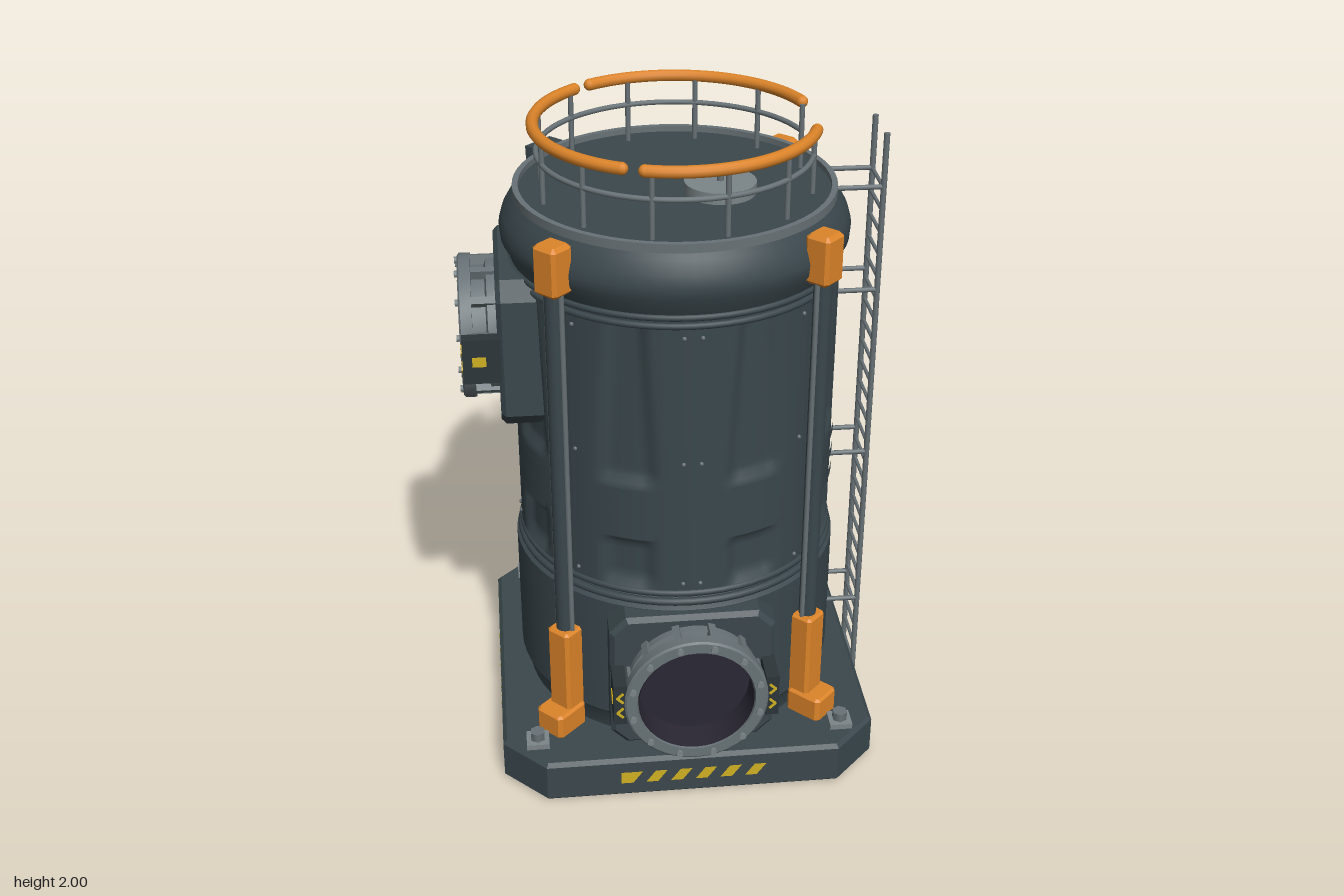
import * as THREE from 'three';
import { toCreasedNormals } from 'three/addons/utils/BufferGeometryUtils.js';

const mat = (name, color, side = THREE.FrontSide) => {
  const m = new THREE.MeshStandardMaterial({ color, side });
  m.name = name;
  return m;
};

export function createModel() {
  const M = {
    body: mat('dark slate', 0x3a474c, THREE.DoubleSide),
    dark: mat('deep slate', 0x2c3539),
    steel: mat('steel', 0x687276),
    light: mat('light steel', 0x7b8588),
    orange: mat('safety orange', 0xdc8429),
    yellow: mat('hazard yellow', 0xd0b022, THREE.DoubleSide),
    hole: mat('dark opening', 0x2a2733, THREE.DoubleSide),
  };
  const root = new THREE.Group();
  root.name = 'tank';
  root.position.x = 0.015;

  // Helpers
  const add = (name, geo, material, parent = root, x = 0, y = 0, z = 0) => {
    const m = new THREE.Mesh(geo, material);
    m.name = name;
    m.position.set(x, y, z);
    parent.add(m);
    return m;
  };
  const group = (name, angle = 0, y = 0) => {
    const g = new THREE.Group();
    g.name = name;
    g.rotation.y = angle;
    g.position.y = y;
    root.add(g);
    return g;
  };
  const box = (w, h, d) => new THREE.BoxGeometry(w, h, d);
  const cyl = (r, h, n = 16) => new THREE.CylinderGeometry(r, r, h, n);
  const lathe = (pts, n = 64) => toCreasedNormals(
    new THREE.LatheGeometry(pts.map(p => new THREE.Vector2(p[0], p[1])), n), 0.6);
  const octagon = (w, h, c) => new THREE.Shape([[-w + c, -h], [w - c, -h], [w, -h + c], [w, h - c],
    [w - c, h], [-w + c, h], [-w, h - c], [-w, -h + c]].map(p => new THREE.Vector2(p[0], p[1])));
  const prism = (shape, depth, bevel) => new THREE.ExtrudeGeometry(shape, {
    depth: depth - 2 * bevel, bevelSize: bevel, bevelThickness: bevel, bevelOffset: -bevel, bevelSegments: 1,
  }).translate(0, 0, bevel);
  const rad = THREE.MathUtils.degToRad;
  const arcTube = (r, y, a0, a1, t) => {
    const pts = [];
    for (let i = 0; i <= 32; i++) {
      const a = rad(a0 + (a1 - a0) * i / 32);
      pts.push(new THREE.Vector3(r * Math.sin(a), y, r * Math.cos(a)));
    }
    return { pts, geo: new THREE.TubeGeometry(new THREE.CatmullRomCurve3(pts), 64, t, 10) };
  };

  // Base slab with cut corners, corner bolts and hazard stripes
  add('baseSlab', prism(octagon(0.583, 0.583, 0.13), 0.142, 0.012).rotateX(-Math.PI / 2), M.body);
  for (const x of [-0.475, 0.475]) for (const z of [-0.47, 0.47]) {
    add('boltPlate', box(0.07, 0.02, 0.07), M.light, root, x, 0.15, z);
    add('anchorBolt', cyl(0.024, 0.03, 6), M.steel, root, x, 0.173, z);
  }
  for (let s = 0; s < 4; s++) {
    const g = group('hazardStripes', s * Math.PI / 2);
    for (let i = 0; i < 6; i++) {
      const x = -0.225 + i * 0.077, lean = i === 0 ? 0 : 0.03;
      const shape = new THREE.Shape([[x, 0.053], [x + 0.037, 0.053], [x + 0.067, 0.095], [x + lean, 0.095]]
        .map(p => new THREE.Vector2(p[0], p[1])));
      add('stripe', new THREE.ShapeGeometry(shape), M.yellow, g, 0, 0, 0.585);
    }
  }

  // Tank shell, from the foot to the domed shoulder and deck
  add('shell', lathe([[0.48, 0.13], [0.49, 0.2], [0.505, 0.22], [0.505, 0.635], [0.49, 0.645], [0.462, 0.66],
    [0.462, 1.57], [0.488, 1.6], [0.495, 1.63], [0.512, 1.655], [0.515, 1.69], [0.505, 1.725],
    [0.485, 1.76], [0.465, 1.785], [0, 1.785]]), M.body);
  for (const [y, r, t] of [[0.655, 0.488, 0.012], [0.683, 0.483, 0.011], [1.565, 0.484, 0.01], [1.592, 0.487, 0.01]])
    add('shellRing', new THREE.TorusGeometry(r, t, 8, 64).rotateX(Math.PI / 2), M.body, root, 0, y);
  add('deckRim', lathe([[0.472, 1.775], [0.472, 1.803], [0.455, 1.803], [0.455, 1.78]]), M.steel);

  // Eight pressed side panels with a widening flute, ribs and a lower pocket
  const step = THREE.MathUtils.smoothstep;
  for (let i = 0; i < 8; i++) {
    const mid = Math.PI / 8 + i * Math.PI / 4, half = rad(21.9);
    const geo = new THREE.CylinderGeometry(0.488, 0.488, 0.86, 28, 48, true, mid - half, half * 2);
    geo.translate(0, 1.125, 0);
    const p = geo.attributes.position;
    for (let k = 0; k < p.count; k++) {
      const x = p.getX(k), y = p.getY(k), z = p.getZ(k);
      const ca = Math.cos(Math.atan2(x, z) - mid);
      const off = Math.acos(Math.min(1, ca));
      const w = y > 1.04 ? 0.11 + 0.08 * (1.55 - y) / 0.5 : 0.17;
      const upper = step(y, 1.04, 1.08);
      const lower = step(y, 0.69, 0.73) * (1 - step(y, 0.84, 0.87));
      const dent = 0.021 * (1 - step(off, w * 0.55, w + 0.03)) * Math.max(upper, lower);
      const f = (0.488 - dent) / 0.488;
      p.setXYZ(k, x * f, y, z * f);
    }
    geo.computeVertexNormals();
    add('sidePanel', geo, M.body);
    for (const y of [0.885, 0.955, 1.025])
      add('panelRib', new THREE.CylinderGeometry(0.494, 0.494, 0.028, 10, 1, true, mid - 0.17, 0.34), M.body, root, 0, y);
    const g = group('panelRivets', mid);
    for (const s of [-1, 1]) for (const y of [0.72, 1.13, 1.53]) {
      const a = s * rad(19.5);
      add('rivet', new THREE.SphereGeometry(0.007, 6, 4), M.steel, g, 0.489 * Math.sin(a), y, 0.489 * Math.cos(a));
    }
  }

  // Three corner struts
  for (const a of [45, 135, -45]) {
    const g = group('cornerStrut', rad(a));
    add('strutFoot', prism(octagon(0.052, 0.062, 0.012), 0.085, 0.008).rotateX(-Math.PI / 2), M.orange, g, 0, 0.145, 0.56);
    add('strutSocket', prism(octagon(0.042, 0.04, 0.01), 0.29, 0.008).rotateX(-Math.PI / 2), M.orange, g, 0, 0.22, 0.53);
    add('strutPole', cyl(0.027, 1.2), M.body, g, 0, 1.08, 0.53);
    for (const s of [-1, 1]) add('poleRail', cyl(0.008, 1.2, 8), M.steel, g, s * 0.028, 1.08, 0.53);
    add('strutCap', prism(octagon(0.042, 0.04, 0.01), 0.15, 0.012).rotateX(-Math.PI / 2), M.orange, g, 0, 1.63, 0.53);
  }

  // Cable channel on the fourth corner
  const tray = group('cableChannel', rad(-135));
  add('channelBack', box(0.1, 1.44, 0.02), M.dark, tray, 0, 1.06, 0.508);
  for (const s of [-1, 1]) add('channelSide', box(0.018, 1.44, 0.045), M.body, tray, s * 0.046, 1.06, 0.518);
  add('channelCap', box(0.11, 0.03, 0.055), M.body, tray, 0, 1.78, 0.515);
  add('channelPost', cyl(0.02, 0.25), M.body, tray, 0.03, 0.26, 0.525);
  add('channelFoot', box(0.06, 0.03, 0.13), M.body, tray, 0.02, 0.155, 0.56);
  add('channelTag', box(0.06, 0.02, 0.006), M.yellow, tray, -0.03, 1.45, 0.543);
  for (let y = 0.42; y < 1.75; y += 0.14) add('channelClip', box(0.012, 0.03, 0.02), M.steel, tray, -0.056, y, 0.53);

  // Three flanged ports
  for (const [a, y] of [[0, 0.4], [180, 0.4], [-90, 1.365]]) {
    const g = group('port', rad(a), y);
    add('portHousing', prism(octagon(0.25, 0.233, 0.05), 0.235, 0.014), M.body, g, 0, 0, 0.3);
    const collar = lathe([[0.2, 0.53], [0.2, 0.56], [0.183, 0.565], [0.183, 0.605], [0.216, 0.605],
      [0.216, 0.638], [0.21, 0.643], [0.178, 0.643], [0.174, 0.625]], 40);
    add('portCollar', collar.rotateX(Math.PI / 2), M.steel, g);
    add('portOpening', lathe([[0.174, 0.64], [0.172, 0.545], [0, 0.545]], 40).rotateX(Math.PI / 2), M.hole, g);
    for (let i = 0; i < 12; i++) {
      const t = (i + 0.5) * Math.PI / 6, c = Math.cos(t), s = Math.sin(t);
      add('flangeBolt', cyl(0.011, 0.014, 6).rotateX(Math.PI / 2), M.light, g, 0.197 * c, 0.197 * s, 0.645);
      add('flangeRib', box(0.03, 0.022, 0.075), M.steel, g, 0.196 * c, 0.196 * s, 0.57).rotation.z = t;
    }
    for (const s of [-1, 1]) {
      add('sideBracket', box(0.04, 0.14, 0.11), M.dark, g, s * 0.228, 0, 0.583);
      // Paired chevrons on the bracket face
      for (const cy of [-0.027, 0.027]) for (const k of [-1, 1])
        add('chevron', box(0.007, 0.026, 0.004), M.yellow, g, s * 0.229, cy + k * 0.008, 0.64).rotation.z = s * k * 0.8;
      add('bracketStripe', box(0.004, 0.03, 0.04), M.yellow, g, s * 0.249, 0, 0.59);
    }
  }

  // Deck railing in three arcs, with a mid rail and posts
  for (const [a0, a1] of [[-17.5, 72.5], [107.5, 213], [221.6, 333.5]]) {
    const { pts, geo } = arcTube(0.407, 1.982, a0, a1, 0.018);
    add('handrail', geo, M.orange);
    for (const e of [pts[0], pts[32]]) add('handrailEnd', new THREE.SphereGeometry(0.018, 10, 8), M.orange, root, e.x, e.y, e.z);
  }
  add('midRail', arcTube(0.4, 1.9, 105, 435, 0.008).geo, M.steel);
  for (let i = 0; i < 12; i++) {
    const a = rad(15 + i * 30);
    add('railPost', cyl(0.008, 0.2, 8), M.steel, root, 0.4 * Math.sin(a), 1.88, 0.4 * Math.cos(a));
  }

  // Deck hatch with a bar handle
  add('hatch', cyl(0.105, 0.035, 32), M.light, root, 0.125, 1.802, 0.062);
  add('hatchStem', cyl(0.01, 0.03, 10), M.steel, root, 0.125, 1.83, 0.062);
  add('hatchHandle', box(0.1, 0.012, 0.016), M.dark, root, 0.125, 1.845, 0.062);

  // Ladder on the left side
  for (const z of [-0.077, 0.08]) {
    add('ladderRail', cyl(0.009, 1.945, 8), M.steel, root, 0.6, 0.9775, z);
    for (const y of [0.34, 0.9, 1.46, 1.787])
      add('ladderStandoff', cyl(0.008, 0.15, 8).rotateZ(Math.PI / 2), M.steel, root, 0.525, y, z);
  }
  for (let i = 0; i < 25; i++)
    add('ladderRung', cyl(0.006, 0.157, 8).rotateX(Math.PI / 2), M.steel, root, 0.6, 0.08 + i * 0.071, 0);

  const model = new THREE.Group();
  model.name = 'storageTank';
  model.add(root);
  return model;
}
